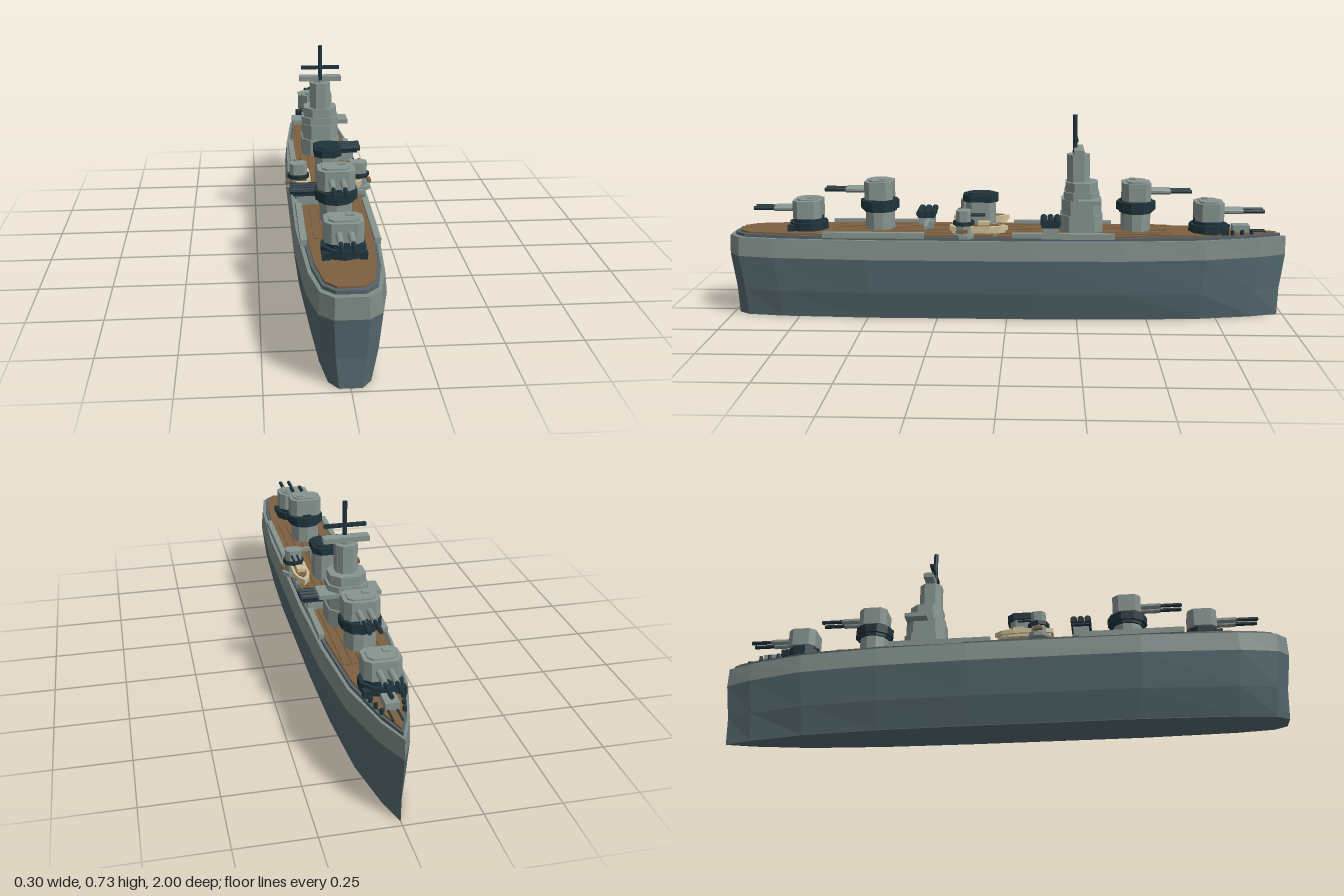
import * as THREE from 'three';

const paint = (name, color) => {
  const m = new THREE.MeshStandardMaterial({ color, flatShading: true });
  m.name = name;
  return m;
};

export function createModel() {
  const gray = paint('light gray', 0x87948f);
  const band = paint('upper hull gray', 0x7f8c88);
  const lower = paint('lower hull blue gray', 0x566a70);
  const trim = paint('deck edge gray', 0x55646a);
  const dark = paint('dark steel', 0x1f333b);
  const wood = paint('deck wood', 0x7d6040);
  const cream = paint('boat cream', 0xcdbf98);
  const ship = new THREE.Group();
  ship.name = 'warship';

  const add = (parent, name, geo, mat, x = 0, y = 0, z = 0) => {
    const m = new THREE.Mesh(geo, mat);
    m.name = name;
    m.position.set(x, y, z);
    parent.add(m);
    return m;
  };
  const group = (name, x = 0, y = 0, z = 0) => {
    const g = new THREE.Group();
    g.name = name;
    g.position.set(x, y, z);
    ship.add(g);
    return g;
  };
  // Boxes and prisms stand on the given y
  const box = (p, name, mat, w, h, d, x, y, z) =>
    add(p, name, new THREE.BoxGeometry(w, h, d), mat, x, y + h / 2, z);
  const drum = (p, name, mat, r, h, x, y, z, sides = 12, rTop = r) =>
    add(p, name, new THREE.CylinderGeometry(rTop, r, h, sides), mat, x, y + h / 2, z);
  const slab = (p, name, mat, pts, h, x, y, z) => {
    const shape = new THREE.Shape(pts.map(([px, pz]) => new THREE.Vector2(px, -pz)));
    const geo = new THREE.ExtrudeGeometry(shape, { depth: h, bevelEnabled: false });
    geo.rotateX(-Math.PI / 2);
    return add(p, name, geo, mat, x, y, z);
  };
  const chamferBox = (p, name, mat, w, h, d, c, x, y, z) => {
    const a = w / 2, b = d / 2;
    return slab(p, name, mat, [[a - c, -b], [a, c - b], [a, b - c], [a - c, b],
      [c - a, b], [-a, b - c], [-a, c - b], [c - a, -b]], h, x, y, z);
  };

  // Hull: waterline outline from bow to stern, scaled at each level
  const half = [[0, -1], [0.045, -0.9], [0.1, -0.7], [0.128, -0.42], [0.138, -0.1],
    [0.138, 0.5], [0.118, 0.83], [0.092, 0.96], [0.05, 1]];
  const outline = [...half, ...half.slice(1).reverse().map(([x, z]) => [-x, z])];
  const scaled = (sx, sz) => outline.map(([x, z]) => [x * sx, z * sz]);
  const hullSides = (name, mat, levels) => {
    const pos = [];
    for (let l = 0; l + 1 < levels.length; l++) {
      const [y0, sx0, sz0] = levels[l], [y1, sx1, sz1] = levels[l + 1];
      const lo = scaled(sx0, sz0), up = scaled(sx1, sz1);
      lo.forEach((_, i) => {
        const j = (i + 1) % lo.length;
        const a = [lo[i][0], y0, lo[i][1]], b = [lo[j][0], y0, lo[j][1]];
        const c = [up[j][0], y1, up[j][1]], d = [up[i][0], y1, up[i][1]];
        pos.push(...a, ...d, ...c, ...a, ...c, ...b);
      });
    }
    const geo = new THREE.BufferGeometry();
    geo.setAttribute('position', new THREE.Float32BufferAttribute(pos, 3));
    geo.computeVertexNormals();
    add(ship, name, geo, mat);
  };
  hullSides('lowerHull', lower, [[0.002, 0.68, 0.98], [0.1, 0.88, 0.983], [0.225, 1, 1]]);
  hullSides('upperHull', band, [[0.225, 1, 1], [0.292, 0.95, 0.998]]);
  slab(ship, 'keelPlate', lower, scaled(0.68, 0.98), 0.004, 0, 0, 0);
  slab(ship, 'hullRim', band, scaled(0.95, 0.998), 0.004, 0, 0.289, 0);
  slab(ship, 'deckEdge', trim, scaled(0.86, 0.978), 0.012, 0, 0.292, 0);
  slab(ship, 'deck', wood, scaled(0.78, 0.962), 0.006, 0, 0.304, 0);

  // Raised planks and side lockers
  for (const s of [-1, 1]) {
    for (const x of [0.014, 0.042, 0.07])
      box(ship, 'plank', wood, 0.022, 0.004, 1.2, s * x, 0.31, 0.02);
    box(ship, 'sideLocker', gray, 0.02, 0.02, 0.36, s * 0.113, 0.3, 0.47);
    box(ship, 'sideLocker', gray, 0.02, 0.02, 0.36, s * 0.108, 0.3, -0.2);
  }

  // Twin gun turrets, bow pair turned around
  const turret = (z, facing, raised) => {
    const g = group(raised ? 'raisedTurret' : 'lowTurret', 0, 0.308, z);
    if (facing < 0) g.rotation.y = Math.PI;
    let y = 0.045;
    if (raised) {
      drum(g, 'pedestal', gray, 0.053, 0.08, 0, 0, 0, 10);
      drum(g, 'lowerRing', dark, 0.06, 0.012, 0, 0.07, 0, 10);
      drum(g, 'ring', dark, 0.07, 0.03, 0, 0.08, 0, 10);
      y = 0.115;
    } else {
      drum(g, 'ring', dark, 0.07, 0.03, 0, 0, 0, 10);
      for (const s of [-1, 1]) box(g, 'readyLocker', dark, 0.025, 0.024, 0.025, s * 0.055, 0, 0.052);
    }
    drum(g, 'collar', dark, 0.055, 0.025, 0, y - 0.02, 0, 10);
    chamferBox(g, 'gunHouse', gray, 0.118, 0.064, 0.1, 0.02, 0, y, 0);
    chamferBox(g, 'roofPlate', gray, 0.09, 0.005, 0.07, 0.015, 0, y + 0.064, 0);
    box(g, 'roofHatch', gray, 0.025, 0.006, 0.02, 0.02, y + 0.068, -0.012);
    for (const s of [-1, 1]) {
      const tube = (name, mat, r, len, z0) => {
        add(g, name, new THREE.CylinderGeometry(r, r, len, 10), mat, s * 0.018, y + 0.032, z0 + len / 2)
          .rotation.x = Math.PI / 2;
      };
      tube('barrelSleeve', gray, 0.01, 0.075, 0.045);
      tube('barrel', dark, 0.007, 0.085, 0.11);
    }
  };
  turret(0.72, 1, false);
  turret(0.46, 1, true);
  turret(-0.46, -1, true);
  turret(-0.72, -1, false);

  // Bridge tower and mast
  const bridge = group('bridge', 0, 0.308, -0.265);
  chamferBox(bridge, 'bridgeBase', gray, 0.14, 0.065, 0.15, 0.03, 0, 0, 0);
  chamferBox(bridge, 'bridgeMiddle', gray, 0.13, 0.055, 0.14, 0.03, 0, 0.065, 0);
  box(bridge, 'bridgeWings', gray, 0.21, 0.015, 0.08, 0, 0.112, -0.025);
  chamferBox(bridge, 'wheelhouse', gray, 0.136, 0.03, 0.125, 0.03, 0, 0.117, 0);
  chamferBox(bridge, 'upperBridge', gray, 0.122, 0.034, 0.115, 0.03, 0, 0.147, 0);
  chamferBox(bridge, 'tower', gray, 0.074, 0.098, 0.08, 0.02, 0, 0.18, 0.012);
  box(bridge, 'rangefinder', gray, 0.156, 0.018, 0.035, 0, 0.283, 0.012);
  drum(bridge, 'rangefinderPost', gray, 0.022, 0.012, 0, 0.274, 0.012, 8);
  drum(bridge, 'mast', dark, 0.008, 0.14, 0, 0.278, 0.025, 8);
  box(bridge, 'mastYard', dark, 0.142, 0.012, 0.012, 0, 0.329, 0.022);

  // Funnel
  const funnel = group('funnel', 0, 0.308, 0.095);
  chamferBox(funnel, 'funnelBody', gray, 0.08, 0.115, 0.105, 0.02, 0, 0, 0);
  chamferBox(funnel, 'funnelCap', dark, 0.094, 0.025, 0.125, 0.024, 0, 0.108, 0);
  chamferBox(funnel, 'funnelMouth', dark, 0.07, 0.008, 0.095, 0.018, 0, 0.13, 0);

  // Lifeboats and side guns
  for (const s of [-1, 1]) {
    const boat = group('lifeboat', s * 0.09, 0.318, 0.1);
    const plan = [[0, -0.105], [0.02, -0.08], [0.029, -0.04], [0.029, 0.06], [0.018, 0.1],
      [-0.018, 0.1], [-0.029, 0.06], [-0.029, -0.04], [-0.02, -0.08]];
    const shrink = (kx, kz) => plan.map(([x, z]) => [x * kx, z * kz]);
    slab(boat, 'boatBottom', cream, shrink(0.75, 0.92), 0.012, 0, 0, 0);
    slab(boat, 'boatHull', cream, plan, 0.016, 0, 0.01, 0);
    slab(boat, 'boatFloor', wood, shrink(0.65, 0.8), 0.003, 0, 0.025, 0);
    box(boat, 'boatCabin', cream, 0.03, 0.014, 0.04, 0, 0.026, -0.02);
    for (const z of [-0.06, 0.06]) box(boat, 'boatCradle', gray, 0.05, 0.01, 0.012, 0, -0.009, z);

    const gun = group('sideGun', s * 0.104, 0.304, 0.15);
    chamferBox(gun, 'gunPlatform', gray, 0.082, 0.014, 0.07, 0.02, 0, 0, 0);
    drum(gun, 'gunPedestal', gray, 0.03, 0.035, 0, 0.012, 0, 8);
    drum(gun, 'gunRing', dark, 0.038, 0.014, 0, 0.045, 0, 8);
    chamferBox(gun, 'gunShield', gray, 0.058, 0.04, 0.05, 0.012, 0, 0.057, 0);
    box(gun, 'gunBench', wood, 0.012, 0.012, 0.03, s * 0.038, 0.022, 0);
    for (const x of [-0.01, 0.01])
      add(gun, 'gunBarrel', new THREE.CylinderGeometry(0.004, 0.004, 0.06, 8), dark, x, 0.08, -0.045)
        .rotation.x = Math.PI / 2;
  }

  // Torpedo launchers, one on each side
  for (const [s, z] of [[1, -0.155], [-1, 0.298]]) {
    const t = group('torpedoLauncher', s * 0.08, 0.308, z);
    box(t, 'launcherBase', gray, 0.07, 0.036, 0.055, 0, 0, 0);
    box(t, 'launcherBed', dark, 0.1, 0.008, 0.062, 0, 0.035, 0);
    for (const dz of [-0.024, 0, 0.024])
      add(t, 'torpedoTube', new THREE.CylinderGeometry(0.0115, 0.0115, 0.12, 10), dark, 0, 0.052, dz)
        .rotation.z = Math.PI / 2;
  }

  // Boat crane aft of the funnel
  box(ship, 'craneFoot', gray, 0.035, 0.03, 0.035, 0, 0.308, 0.285);
  box(ship, 'craneArm', gray, 0.13, 0.014, 0.014, 0.045, 0.33, 0.285);

  // Foredeck fittings
  box(ship, 'anchorWinch', gray, 0.045, 0.026, 0.06, 0, 0.308, -0.835);
  for (const s of [-1, 1]) {
    for (const [x, z] of [[0.05, -0.8], [0.043, -0.835], [0.034, -0.87]])
      drum(ship, 'bollard', dark, 0.007, 0.016, s * x, 0.306, z, 8);
    box(ship, 'anchorChain', dark, 0.006, 0.004, 0.09, s * 0.014, 0.309, -0.88);
  }
  return ship;
}
